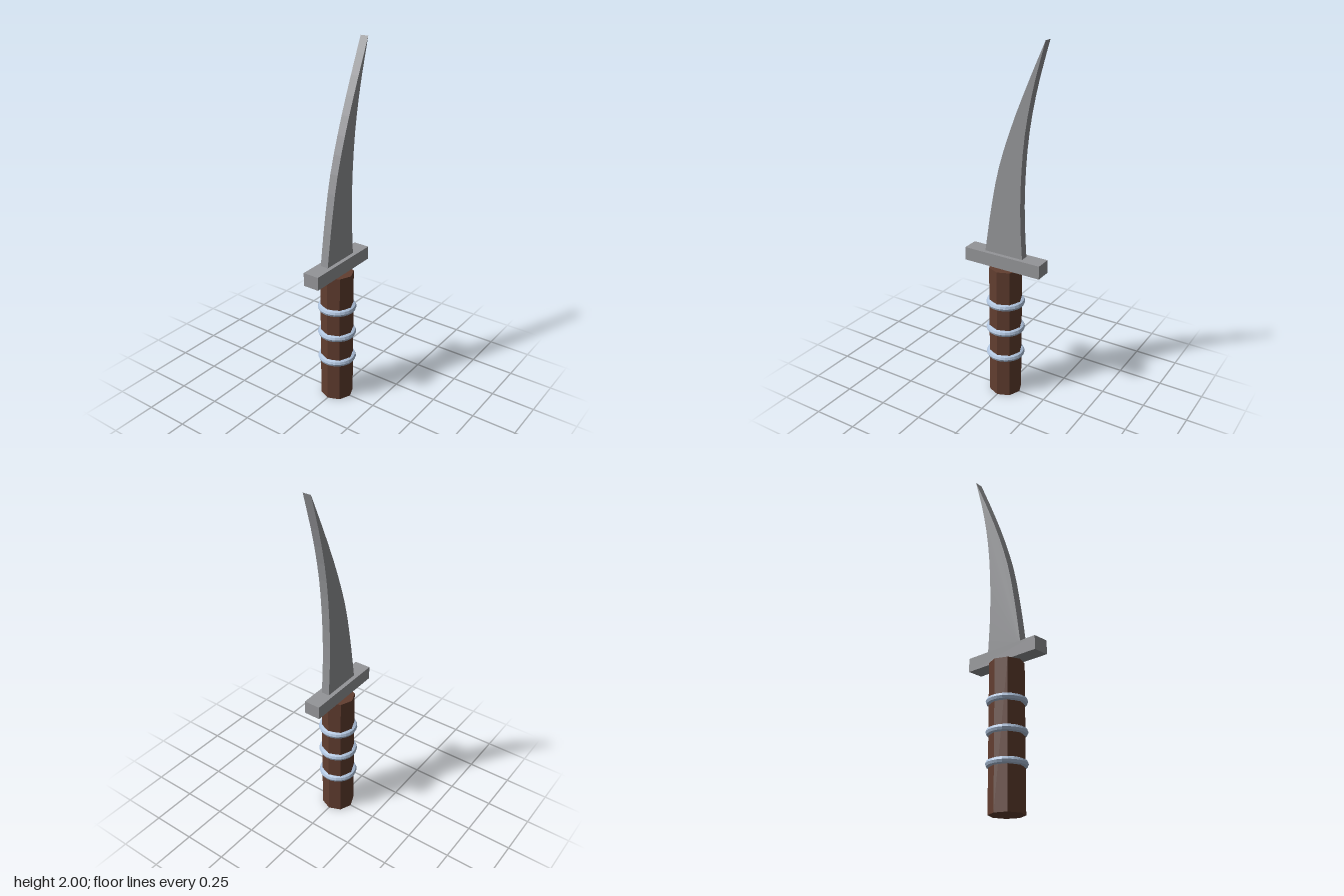
import * as THREE from 'three';

export function createModel() {
  const model = new THREE.Group();
  const material = (name, color) => {
    const m = new THREE.MeshStandardMaterial({ color, flatShading: true });
    m.name = name;
    return m;
  };
  const steel = material('grey steel', 0x949598);
  const wood = material('dark brown wood', 0x623e30);
  const blueSteel = material('pale blue steel', 0xb0c4de);

  const add = (name, geometry, mat, y = 0) => {
    const mesh = new THREE.Mesh(geometry, mat);
    mesh.name = name;
    mesh.position.y = y;
    model.add(mesh);
    return mesh;
  };

  // Octagonal grip
  add('handle', new THREE.CylinderGeometry(0.092, 0.092, 0.775, 8), wood, 0.3875);

  // Three rings around the grip
  for (const y of [0.245, 0.405, 0.565]) {
    add('handleRing', new THREE.TorusGeometry(0.089, 0.0185, 8, 24).rotateX(Math.PI / 2), blueSteel, y);
  }

  // Crossguard, long from front to back
  add('guard', new THREE.BoxGeometry(0.092, 0.075, 0.462), steel, 0.8125);

  // Curved blade: side outline as (z, y), swept back to a point
  const outline = new THREE.Shape();
  outline.moveTo(-0.115, 0.85);
  outline.lineTo(0.115, 0.85);
  outline.splineThru([[0.08, 1.08], [0.032, 1.32], [-0.042, 1.55], [-0.132, 1.775], [-0.231, 2]]
    .map(([z, y]) => new THREE.Vector2(z, y)));
  outline.splineThru([[-0.17, 1.775], [-0.127, 1.55], [-0.106, 1.32], [-0.102, 1.08], [-0.115, 0.85]]
    .map(([z, y]) => new THREE.Vector2(z, y)));
  const blade = new THREE.ExtrudeGeometry(outline, { depth: 0.046, bevelEnabled: false, curveSegments: 2 });
  blade.translate(0, 0, -0.023).rotateY(-Math.PI / 2);
  add('blade', blade, steel);

  return model;
}
